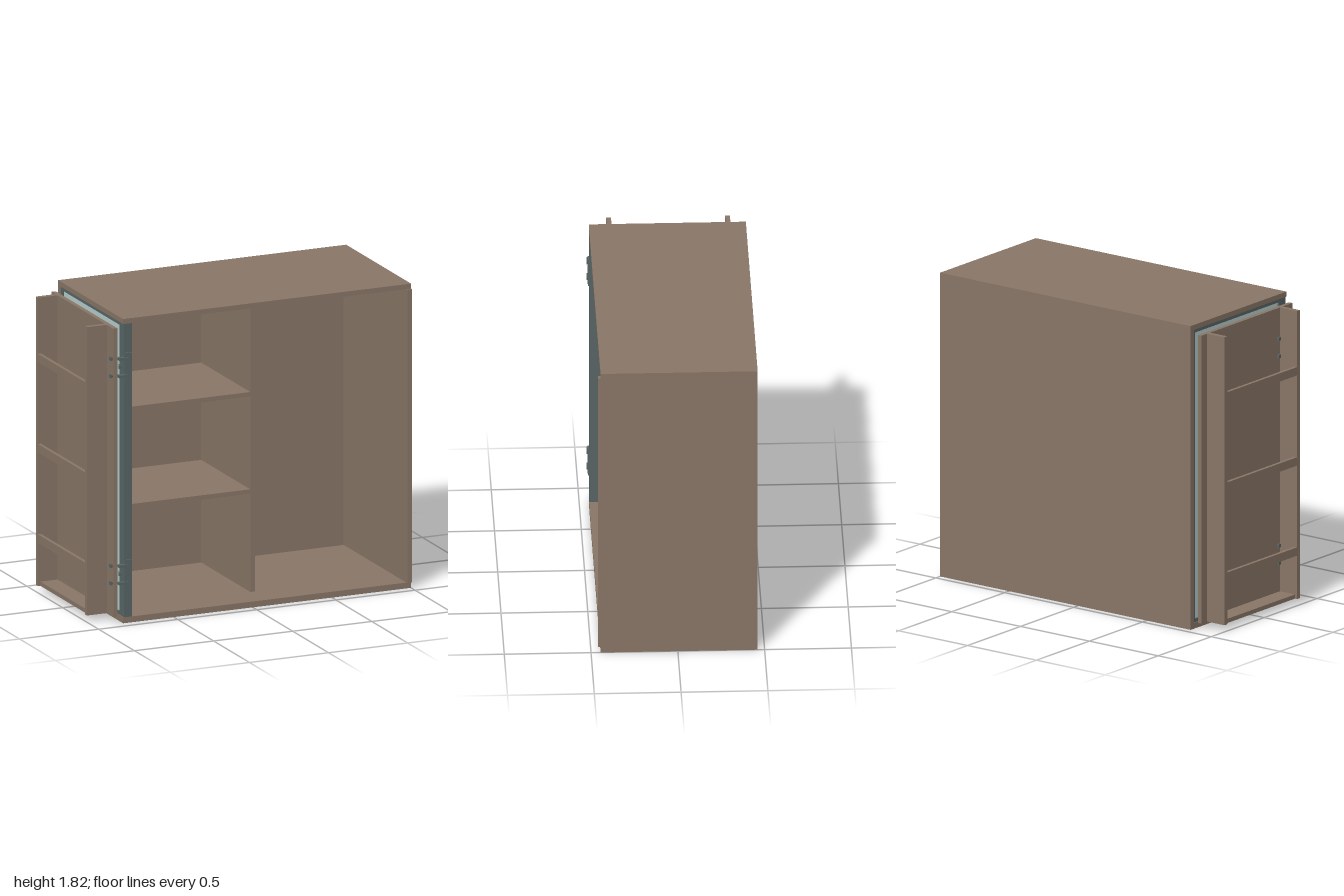
import * as THREE from 'three';

const mat = (name, color, extra = {}) => {
  const m = new THREE.MeshStandardMaterial({ color, ...extra });
  m.name = name;
  return m;
};

export function createModel() {
  const wood = mat('brown board', 0x8a7768);
  const slate = mat('slate metal', 0x596666);
  const glass = mat('pale glass', 0xb9cfcf);

  // Box given by its lower and upper limits on each axis
  const box = (parent, name, material, [x0, x1], [y0, y1], [z0, z1]) => {
    const mesh = new THREE.Mesh(new THREE.BoxGeometry(x1 - x0, y1 - y0, z1 - z0), material);
    mesh.position.set((x0 + x1) / 2, (y0 + y1) / 2, (z0 + z1) / 2);
    mesh.name = name;
    parent.add(mesh);
    return mesh;
  };
  const group = (parent, name) => {
    const g = new THREE.Group();
    g.name = name;
    parent.add(g);
    return g;
  };

  const model = new THREE.Group();
  model.name = 'cabinet';
  const low = 0.035, high = 1.79;

  // Carcass
  const body = group(model, 'carcass');
  box(body, 'bottomBoard', wood, [-0.82, 1], [0, low], [-0.46, 0.445]);
  box(body, 'topBoard', wood, [-0.82, 1], [high, 1.82], [-0.46, 0.445]);
  box(body, 'backBoard', wood, [-0.82, 1], [low, high], [-0.46, -0.43]);
  box(body, 'sideBoard', wood, [0.97, 1], [low, high], [-0.43, 0.46]);
  box(body, 'divider', wood, [0.07, 0.1], [low, high], [-0.43, 0.255]);
  for (const y of [0.622, 1.204])
    box(body, 'shelf', wood, [-0.785, 0.07], [y, y + 0.027], [-0.43, 0.255]);

  // Glazed side with its metal frame
  const side = group(model, 'glazedSide');
  box(side, 'frontStile', slate, [-0.815, -0.765], [low, high], [0.38, 0.444]);
  box(side, 'backStile', slate, [-0.815, -0.785], [low, high], [-0.43, -0.41]);
  for (const y of [low, high - 0.02])
    box(side, 'frameRail', slate, [-0.815, -0.785], [y, y + 0.02], [-0.41, 0.38]);
  box(side, 'glassPane', glass, [-0.806, -0.794], [low + 0.02, high - 0.02], [-0.41, 0.38]);

  // Open door with a rack on its outer side
  const door = group(model, 'door');
  box(door, 'doorPanel', wood, [-0.875, -0.85], [0.04, 1.765], [-0.43, 0.43]);
  for (const z of [-0.375, 0.31])
    box(door, 'rackPost', wood, [-1, -0.875], [0.04, 1.765], [z, z + 0.028]);
  box(door, 'rackFloor', wood, [-0.985, -0.875], [0.04, 0.065], [-0.347, 0.31]);
  for (const y of [0.3, 0.84, 1.38])
    box(door, 'rackRail', wood, [-1, -0.98], [y, y + 0.05], [-0.347, 0.31]);

  // Two hinges: stile plate, door leaf, link arms and bolts
  for (const y of [0.293, 1.532]) {
    const hinge = group(model, 'hinge');
    box(hinge, 'stilePlate', slate, [-0.812, -0.768], [y - 0.085, y + 0.085], [0.444, 0.452]);
    box(hinge, 'doorLeaf', glass, [-0.85, -0.842], [y - 0.06, y + 0.06], [0.275, 0.43]);
    box(hinge, 'knuckle', slate, [-0.842, -0.828], [y - 0.01, y + 0.01], [0.28, 0.44]);
    for (const dy of [-0.052, 0.052]) {
      box(hinge, 'linkArm', slate, [-0.85, -0.79], [y + dy - 0.008, y + dy + 0.008], [0.434, 0.458]);
      for (const z of [0.29, 0.42]) {
        const bolt = new THREE.Mesh(new THREE.CylinderGeometry(0.006, 0.006, 0.055, 10), slate);
        bolt.rotation.z = Math.PI / 2;
        bolt.position.set(-0.8625, y + dy, z);
        bolt.name = 'bolt';
        hinge.add(bolt);
        box(hinge, 'boltHead', slate, [-0.892, -0.88],
          [y + dy - 0.01, y + dy + 0.01], [z - 0.01, z + 0.01]);
      }
    }
  }
  return model;
}
